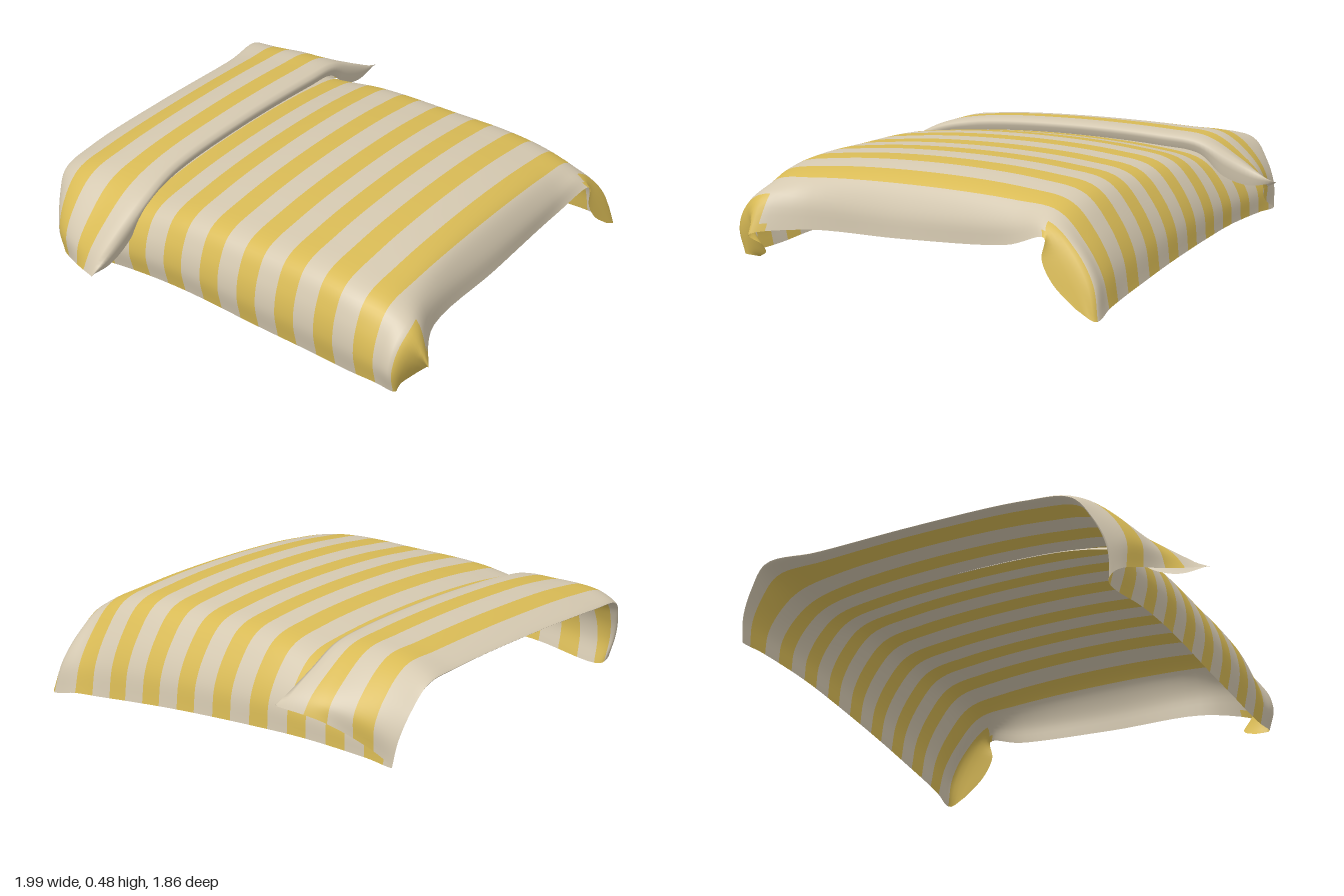
import * as THREE from 'three';

const COLS = 64;
const mix = (a, b, t) => a.map((n, i) => n + (b[i] - n) * t);

// Cross-section from right hem (-x) to left hem (+x): two hanging sides and a gently crowned middle.
// crown = [y, z] at the centre, bulge = [outward, up] push of the sides
function section(hemR, shoulderR, crown, shoulderL, hemL, bulge) {
  const push = ([x, y, z], side) => [x + side * bulge[0], y + bulge[1], z];
  const blend = (x, [, y, z]) => [x, y + (crown[0] - y) * 0.65, z + (crown[1] - z) * 0.92];
  return [
    hemR, push(mix(hemR, shoulderR, 0.35), -1), push(mix(hemR, shoulderR, 0.7), -1), shoulderR,
    blend(-0.46, shoulderR), [0, ...crown], blend(0.46, shoulderL),
    shoulderL, push(mix(hemL, shoulderL, 0.7), 1), push(mix(hemL, shoulderL, 0.35), 1), hemL,
  ];
}

// Turned-back flap: rolled lip, front edge, middle, rear, fold line at the head
const flapSections = () => [
  [-1.4, section([-1, 0.21, -0.435], [-0.66, 0.35, -0.44], [0.425, -0.46], [0.64, 0.39, -0.47], [0.985, 0.3, -0.475], [0, -0.055])],
  [-1.34, section([-1, 0.21, -0.43], [-0.66, 0.4, -0.42], [0.468, -0.445], [0.64, 0.44, -0.455], [0.985, 0.3, -0.47], [0.025, -0.015])],
  [-1.2, section([-0.91, 0.15, -0.59], [-0.66, 0.415, -0.6], [0.48, -0.6], [0.64, 0.455, -0.6], [0.88, 0.24, -0.6], [0.06, -0.015])],
  [-1, section([-0.81, 0.1, -0.76], [-0.66, 0.405, -0.8], [0.45, -0.8], [0.64, 0.435, -0.8], [0.81, 0.15, -0.79], [0.06, 0])],
  [-0.9, section([-0.77, 0.08, -0.785], [-0.65, 0.37, -0.885], [0.41, -0.905], [0.68, 0.4, -0.93], [0.81, 0.11, -0.875], [0.035, 0])],
];

// Part lying on the bed: [z, top sag, right hem y, left hem y, left hem spread]
const bedSections = () => [
  [-0.75, 0.05, 0.055, 0.11, 0],
  [-0.45, 0.038, 0.09, 0.11, 0],
  [-0.2, 0.005, 0.1, 0.1, 0.01],
  [0.2, 0, 0.08, 0.075, 0.03],
  [0.45, 0.002, 0.07, 0.05, 0.04],
  [0.62, 0.022, 0.06, 0.03, 0.045],
].map(([z, sag, hemR, hemL, spread]) => [z, section([-0.735, hemR, z], [-0.675, 0.4 - sag, z],
  [0.465 - sag, z], [0.655, 0.41 - sag, z], [0.8 + spread, hemL, z], [0.042, 0.005])]);

// Front drop with its two hanging corners
const frontSections = () => [
  [0.75, section([-0.735, 0.06, 0.75], [-0.655, 0.35, 0.745], [0.395, 0.745], [0.645, 0.36, 0.745], [0.86, 0.02, 0.75], [0.045, 0])],
  [0.85, section([-0.74, 0.06, 0.84], [-0.65, 0.3, 0.86], [0.295, 0.8], [0.63, 0.33, 0.81], [0.87, 0, 0.87], [0.05, 0.01])],
  [0.95, section([-0.68, 0.05, 0.82], [-0.65, 0.16, 0.93], [0.195, 0.81], [0.65, 0.28, 0.86], [0.79, 0.04, 0.88], [-0.05, -0.005])],
];

// Stripe spans along the cloth
const stripes = [[-1.25, -1.18], [-1.085, -1]];
for (let k = 8; k >= 0; k--) stripes.push([0.66 - 0.1855 * k, 0.75 - 0.1855 * k]);

// Smooth surface through all the cross-sections
function clothSurface() {
  const sections = [...flapSections(), ...bedSections(), ...frontSections()];
  const size = (COLS + 1) * 3, samples = [];
  for (const [, pts] of sections) {
    const curve = new THREE.CatmullRomCurve3(pts.map((p) => new THREE.Vector3(...p)), false, 'centripetal');
    for (let i = 0; i <= COLS; i++) samples.push(...curve.getPoint(i / COLS).toArray());
  }
  return new THREE.CubicInterpolant(sections.map((s) => s[0]), samples, size, new Float32Array(size));
}

function clothPart(name, surface, from, to, materials) {
  // rows line up with the stripe borders
  const borders = [from, ...stripes.flat(), 0.84, to].filter((v, i, all) => v >= from && v <= to && all.indexOf(v) === i);
  borders.sort((a, b) => a - b);
  const rows = [from];
  for (let b = 1; b < borders.length; b++) {
    for (let j = 1; j <= 5; j++) rows.push(borders[b - 1] + (borders[b] - borders[b - 1]) * j / 5);
  }
  const positions = rows.flatMap((v) => Array.from(surface.evaluate(v)));
  const faces = [[], []];
  for (let r = 0; r < rows.length - 1; r++) {
    const mid = (rows[r] + rows[r + 1]) / 2;
    const striped = stripes.some(([a, b]) => mid > a && mid < b);
    for (let c = 0; c < COLS; c++) {
      const a = r * (COLS + 1) + c, b = a + COLS + 1;
      const corner = mid > 0.84 && Math.abs(positions[a * 3]) > 0.62;
      faces[striped || corner ? 1 : 0].push(a, b, a + 1, b, b + 1, a + 1);
    }
  }
  const geo = new THREE.BufferGeometry();
  geo.setAttribute('position', new THREE.Float32BufferAttribute(positions, 3));
  geo.setIndex([...faces[0], ...faces[1]]);
  geo.addGroup(0, faces[0].length, 0);
  geo.addGroup(faces[0].length, faces[1].length, 1);
  geo.computeVertexNormals();
  const mesh = new THREE.Mesh(geo, materials);
  mesh.name = name;
  return mesh;
}

export function createModel() {
  const linen = new THREE.MeshStandardMaterial({ color: 0xd4c8b0, side: THREE.DoubleSide });
  linen.name = 'linen beige';
  const yellow = new THREE.MeshStandardMaterial({ color: 0xd8ba55, side: THREE.DoubleSide });
  yellow.name = 'stripe yellow';

  const group = new THREE.Group();
  group.name = 'blanket';
  const surface = clothSurface();
  group.add(clothPart('blanketCover', surface, -0.9, 0.95, [linen, yellow]));
  group.add(clothPart('foldedFlap', surface, -1.4, -0.9, [linen, yellow]));
  return group;
}
